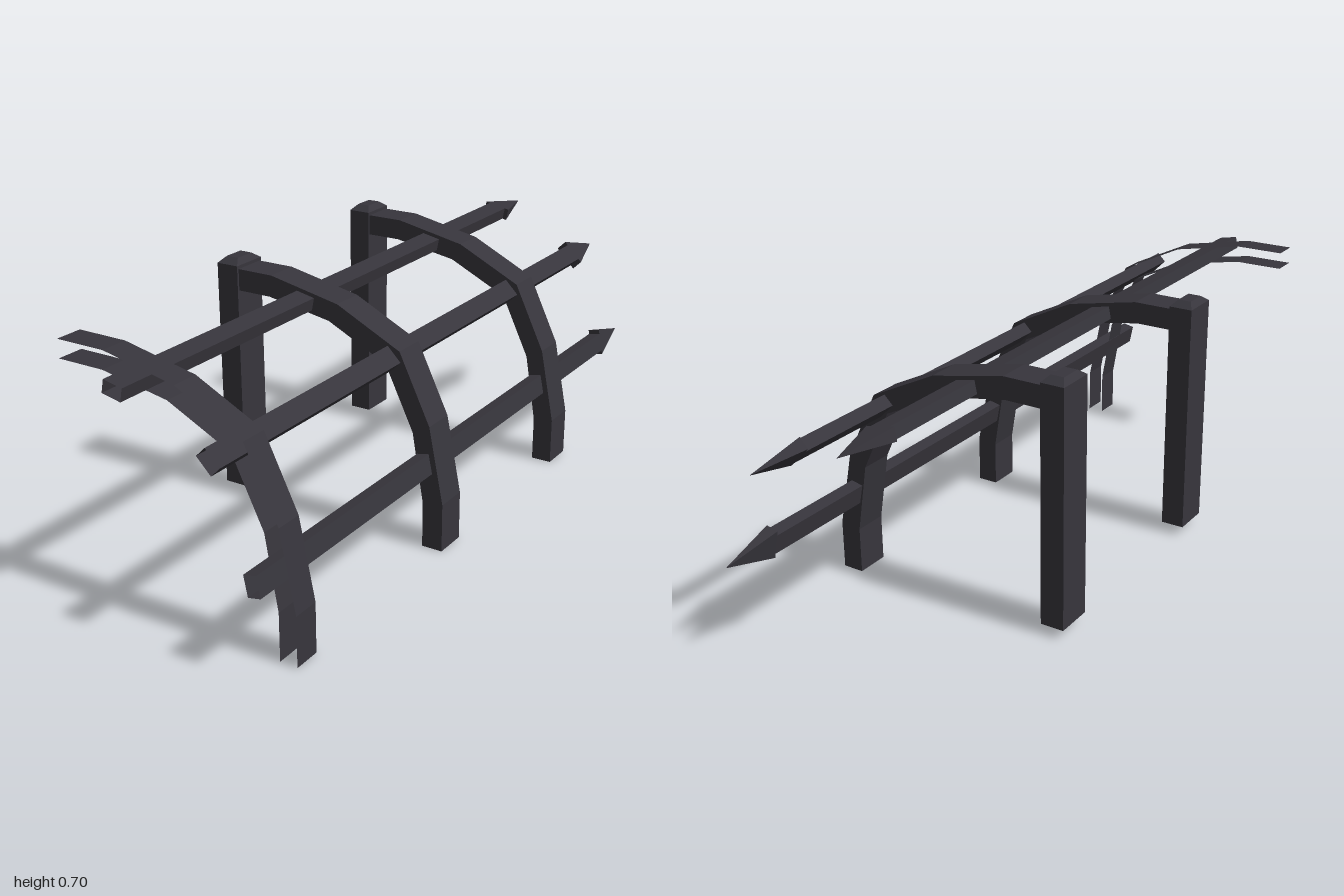
import * as THREE from 'three';

// Outer and inner edge of the bent arch, from the post end down to the foot
const OUTER = [[-0.328, 0.68], [-0.183, 0.68], [0.03, 0.637], [0.222, 0.543], [0.314, 0.352], [0.357, 0.137], [0.357, 0]];
const INNER = [[-0.328, 0.619], [-0.19, 0.619], [0.002, 0.586], [0.18, 0.5], [0.264, 0.325], [0.297, 0.13], [0.297, 0]];

const iron = new THREE.MeshStandardMaterial({ color: 0x37353c, side: THREE.DoubleSide });
iron.name = 'dark iron';
iron.flatShading = true;

function part(geometry, name, parent) {
  const mesh = new THREE.Mesh(geometry, iron);
  mesh.name = name;
  parent.add(mesh);
  return mesh;
}

// Solid arch: the profile between both edges, pushed along z
function archGeometry(depth) {
  const shape = new THREE.Shape([...OUTER, ...[...INNER].reverse()].map(([x, y]) => new THREE.Vector2(x, y)));
  return new THREE.ExtrudeGeometry(shape, { depth, bevelEnabled: false });
}

// Thin bent strip that follows one edge of the arch
function stripGeometry(points, z0, z1, flip) {
  const positions = [];
  for (let i = 0; i < points.length - 1; i++) {
    const [ax, ay] = points[i], [bx, by] = points[i + 1];
    const a = [ax, ay, z0], b = [ax, ay, z1], c = [bx, by, z1], d = [bx, by, z0];
    const faces = flip ? [a, c, b, a, d, c] : [a, b, c, a, c, d];
    positions.push(...faces.flat());
  }
  const g = new THREE.BufferGeometry();
  g.setAttribute('position', new THREE.Float32BufferAttribute(positions, 3));
  g.computeVertexNormals();
  return g;
}

// Four-sided frustum with a unit base, standing along y
function squareFrustum(top, height) {
  return new THREE.CylinderGeometry(top * Math.SQRT1_2, Math.SQRT1_2, height, 4).rotateY(Math.PI / 4);
}

function addPost(z, parent) {
  const post = new THREE.Group();
  post.name = 'post';
  post.position.set(-0.3265, 0, z);
  part(new THREE.BoxGeometry(0.067, 0.662, 0.108), 'postShaft', post).position.y = 0.358;
  const cap = part(squareFrustum(0.56, 0.016), 'postCap', post);
  cap.scale.set(0.067, 1, 0.108);
  cap.position.y = 0.697;
  parent.add(post);
}

// Flat rail with an open front end and a pointed head at the back
function addRail(x, y, angle, parent) {
  const rail = new THREE.Group();
  rail.name = 'rail';
  rail.position.set(x, y, 0);
  rail.rotation.z = angle;
  const tube = new THREE.CylinderGeometry(Math.SQRT1_2, Math.SQRT1_2, 1.84, 4, 1, true)
    .rotateY(Math.PI / 4).rotateX(-Math.PI / 2);
  const bar = part(tube, 'railBar', rail);
  bar.scale.set(0.056, 0.036, 1);
  bar.position.z = 0.08;
  const head = part(squareFrustum(0, 0.16).rotateX(-Math.PI / 2), 'railHead', rail);
  head.scale.set(0.082, 0.036, 1);
  head.position.z = -0.92;
  parent.add(rail);
}

export function createModel() {
  const model = new THREE.Group();
  model.name = 'archedFence';

  // Posts with solid arches
  for (const z of [0.204, -0.458]) {
    addPost(z, model);
    part(archGeometry(0.095), 'arch', model).position.z = z - 0.0475;
  }

  // Front arch: an upper and a lower strip
  const mix = (t) => OUTER.map(([x, y], i) => [x + (INNER[i][0] - x) * t, y + (INNER[i][1] - y) * t]);
  part(stripGeometry(mix(0.09), 0.83, 0.907, false), 'frontArchUpperStrip', model);
  part(stripGeometry(mix(0.91), 0.83, 0.907, true), 'frontArchLowerStrip', model);

  // Rails tilted to follow the arch
  addRail(-0.075, 0.629, -0.2, model);
  addRail(0.193, 0.52, -Math.PI / 4, model);
  addRail(0.301, 0.244, -1.37, model);

  return model;
}
